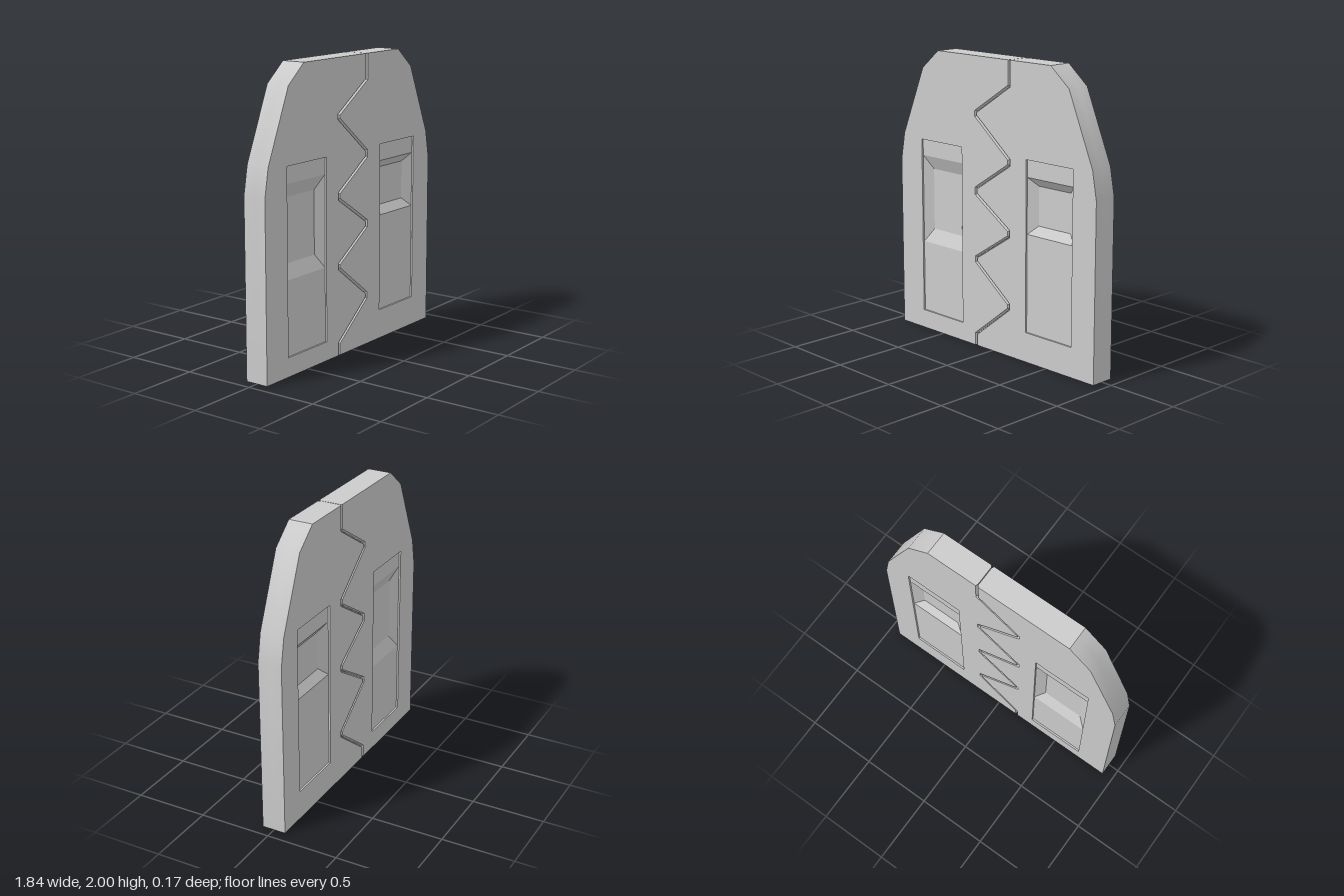
import * as THREE from 'three';
import { toCreasedNormals } from 'three/addons/utils/BufferGeometryUtils.js';

const FRONT = 0.083;           // half thickness of the door
const PANEL = FRONT - 0.012;   // level of the shallow panels
const WINDOW = 0.028;          // level of the sunken windows

// Zigzag split between the leaves, from top to bottom
const T = 0.156;
const seam = [
  [T, 2], [T, 1.83], [-T, 1.63], [-T, 1.6], [T, 1.35], [T, 1.31], [-T, 1.11], [-T, 1.07],
  [T, 0.87], [T, 0.83], [-T, 0.63], [-T, 0.6], [T, 0.365], [T, 0.33], [-T, 0.085], [-T, 0],
].map(([x, y]) => new THREE.Vector2(x, y));

// Mitred offset of the split; positive moves towards +x
function offsetSeam(d) {
  const normals = seam.slice(1).map((p, i) => {
    const t = p.clone().sub(seam[i]).normalize();
    return new THREE.Vector2(-t.y, t.x);
  });
  return seam.map((p, i) => {
    const a = normals[Math.max(i - 1, 0)];
    const b = normals[Math.min(i, normals.length - 1)];
    return p.clone().addScaledVector(a.clone().add(b), d / (1 + a.dot(b)));
  });
}

// Outer edge of a leaf, from the floor up
const outerEdge = (side) => [[0.922, 0], [0.922, 1.2], [0.887, 1.39], [0.683, 1.87], [0.525, 2]]
  .map(([x, y]) => new THREE.Vector2(side * x, y));

// Counter-clockwise outline of a leaf with its seam edge pulled back by d
function outline(side, d) {
  const edge = offsetSeam(side * d);
  return side > 0 ? [...edge, ...outerEdge(1)] : [...edge.reverse(), ...outerEdge(-1).reverse()];
}

// Clockwise rectangle, so that lofts from it face inwards
const rect = ([x0, x1, y0, y1]) => [[x0, y0], [x0, y1], [x1, y1], [x1, y0]]
  .map(([x, y]) => new THREE.Vector2(x, y));

const at = (p, z) => [p.x, p.y, z];

// Band of faces between two closed loops at different depths
function loft(tris, r0, z0, r1, z1) {
  r0.forEach((p, i) => {
    const j = (i + 1) % r0.length;
    const a = at(p, z0), b = at(r0[j], z0), c = at(r1[i], z1), d = at(r1[j], z1);
    tris.push([a, c, b], [b, c, d]);
  });
}

function flatRect(tris, bounds, z) {
  const [a, b, c, d] = rect(bounds).map((p) => at(p, z));
  tris.push([a, d, c], [a, c, b]);
}

// Turns the front half into a full solid by mirroring it through z = 0
function mirroredMesh(name, tris, crease) {
  const back = tris.map(([a, b, c]) => [a, c, b].map(([x, y, z]) => [x, y, -z]));
  const geometry = new THREE.BufferGeometry();
  geometry.setAttribute('position', new THREE.Float32BufferAttribute([...tris, ...back].flat(2), 3));
  geometry.computeVertexNormals();
  const mesh = new THREE.Mesh(
    crease ? toCreasedNormals(geometry, crease) : geometry,
    new THREE.MeshStandardMaterial({ color: 0xcccccc }),
  );
  mesh.name = name;
  return mesh;
}

function makeLeaf(name, side, panel, window, pane) {
  const leaf = new THREE.Group();
  leaf.name = name;

  // Slab with a chamfered seam and an opening for the panel
  const slab = [];
  const face = outline(side, 0.01), rim = outline(side, 0.002), hole = rect(panel);
  const points = [...face, ...hole];
  THREE.ShapeUtils.triangulateShape(face, [hole])
    .forEach((f) => slab.push(f.map((i) => at(points[i], FRONT))));
  loft(slab, face, FRONT, rim, FRONT - 0.014);
  loft(slab, rim, FRONT - 0.014, rim, 0);
  leaf.add(mirroredMesh('slab', slab, 0.52));

  // Shallow panel above and below the window
  const recess = [];
  const [x0, x1, y0, y1] = panel;
  loft(recess, hole, FRONT, hole, PANEL);
  flatRect(recess, [x0, x1, y0, window[2]], PANEL);
  flatRect(recess, [x0, x1, window[3], y1], PANEL);
  leaf.add(mirroredMesh('panel', recess));

  // Sunken window with sloping sides
  const sunken = [];
  loft(sunken, rect(window), PANEL, rect(pane), WINDOW);
  flatRect(sunken, pane, WINDOW);
  leaf.add(mirroredMesh('window', sunken));
  return leaf;
}

export function createModel() {
  const door = new THREE.Group();
  door.name = 'door';
  door.add(makeLeaf('rightLeaf', -1,
    [-0.703, -0.295, 0.13, 1.37], [-0.703, -0.295, 0.635, 1.255], [-0.64, -0.355, 0.73, 1.16]));
  door.add(makeLeaf('leftLeaf', 1,
    [0.315, 0.725, 0.205, 1.373], [0.315, 0.725, 0.875, 1.255], [0.38, 0.66, 0.935, 1.2]));
  return door;
}
